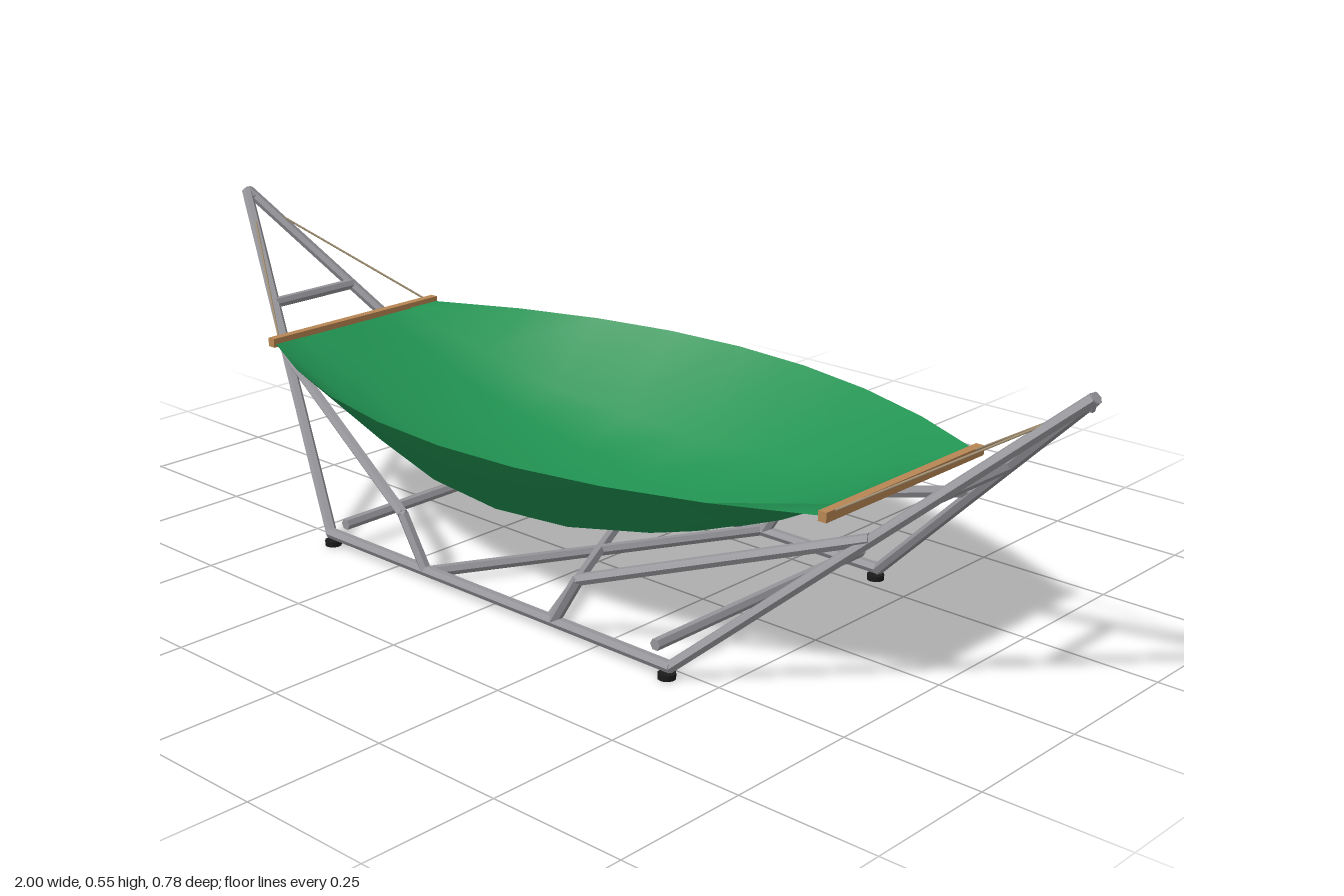
import * as THREE from 'three';

const steel = new THREE.MeshStandardMaterial({ color: 0x95959a, flatShading: true });
steel.name = 'steel';
const fabric = new THREE.MeshStandardMaterial({ color: 0x219352, side: THREE.DoubleSide });
fabric.name = 'green fabric';
const wood = new THREE.MeshStandardMaterial({ color: 0xb88654 });
wood.name = 'wood';
const rope = new THREE.MeshStandardMaterial({ color: 0xa39072 });
rope.name = 'rope';
const rubber = new THREE.MeshStandardMaterial({ color: 0x1a1a1a });
rubber.name = 'rubber';

const R = 0.0106;

// Straight six-sided bar between two points, one flat facing up
function bar(name, a, b, radius = R, material = steel) {
  const from = new THREE.Vector3(...a), to = new THREE.Vector3(...b);
  const geometry = new THREE.CylinderGeometry(radius, radius, from.distanceTo(to), 6, 1, false, Math.PI / 6);
  geometry.rotateX(Math.PI / 2);
  const mesh = new THREE.Mesh(geometry, material);
  mesh.name = name;
  mesh.position.copy(from).lerp(to, 0.5);
  mesh.lookAt(to);
  return mesh;
}

// Sagging cloth: width and depth both swell towards the middle
function cloth() {
  const nx = 8, half = 0.66, rim = 0.325;
  const across = [-1, -2 / 3, -1 / 3, 0, 1 / 3, 2 / 3, 1];
  const sag = [0, 0.745, 0.945, 1, 0.945, 0.745, 0];
  const n = across.length, positions = [], index = [];
  for (let i = 0; i <= nx; i++) {
    const u = (2 * i) / nx - 1, swell = 1 - u * u;
    across.forEach((v, j) =>
      positions.push(u * half, rim - 0.2 * swell * sag[j], v * (0.205 + 0.184 * swell)));
  }
  for (let i = 0; i < nx; i++) {
    for (let j = 0; j < n - 1; j++) {
      const a = i * n + j, b = a + 1, c = a + n, d = c + 1;
      index.push(a, b, c, b, d, c);
    }
  }
  const geometry = new THREE.BufferGeometry();
  geometry.setAttribute('position', new THREE.Float32BufferAttribute(positions, 3));
  geometry.setIndex(index);
  geometry.computeVertexNormals();
  const mesh = new THREE.Mesh(geometry, fabric);
  mesh.name = 'hammockCloth';
  return mesh;
}

export function createModel() {
  const model = new THREE.Group();
  model.name = 'hammockWithStand';
  model.add(cloth());

  for (const s of [-1, 1]) {
    // Long base rail and crossed floor brace
    model.add(bar('baseRail', [-0.425, 0.022, s * 0.281], [0.425, 0.022, s * 0.281]));
    model.add(bar('floorBrace', [-0.15, 0.022, s * 0.28], [0.15, 0.022, -s * 0.28]));

    // Cross bars at each end
    model.add(bar('lowerCrossBar', [s * 0.385, 0.047, -0.276], [s * 0.385, 0.047, 0.276]));
    model.add(bar('upperCrossBar', [s * 0.79, 0.358, -0.1], [s * 0.79, 0.358, 0.1]));

    // Apex cap and hanging hook
    model.add(bar('apexCap', [s * 0.975, 0.523, 0], [s * 0.993, 0.54, 0]));
    model.add(bar('hook', [s * 0.972, 0.523, 0], [s * 0.99, 0.523, 0], 0.007));

    // Wooden spreader bar
    const spreader = new THREE.Mesh(new THREE.BoxGeometry(0.016, 0.017, 0.422), wood);
    spreader.name = 'spreaderBar';
    spreader.position.set(s * 0.664, 0.326, 0);
    model.add(spreader);

    for (const t of [-1, 1]) {
      // Sloping leg of the end triangle
      model.add(bar('leg', [s * 0.42, 0.02, t * 0.281], [s * 0.99, 0.538, t * 0.002]));

      // Bent side brace
      const elbow = [s * 0.217, 0.114, t * 0.281];
      model.add(bar('braceUpright', [s * 0.16, 0.022, t * 0.281], elbow));
      model.add(bar('braceArm', elbow, [s * 0.705, 0.281, t * 0.143]));
      const joint = new THREE.Mesh(new THREE.IcosahedronGeometry(R, 0), steel);
      joint.name = 'braceElbow';
      joint.position.set(...elbow);
      model.add(joint);

      // Suspension rope
      model.add(bar('suspensionRope', [s * 0.664, 0.328, t * 0.192], [s * 0.98, 0.523, 0], 0.002, rope));

      // Foot pad
      const foot = new THREE.Mesh(new THREE.CylinderGeometry(0.0155, 0.0155, 0.01, 12), rubber);
      foot.name = 'foot';
      foot.position.set(s * 0.416, 0.005, t * 0.281);
      model.add(foot);
    }
  }
  return model;
}
